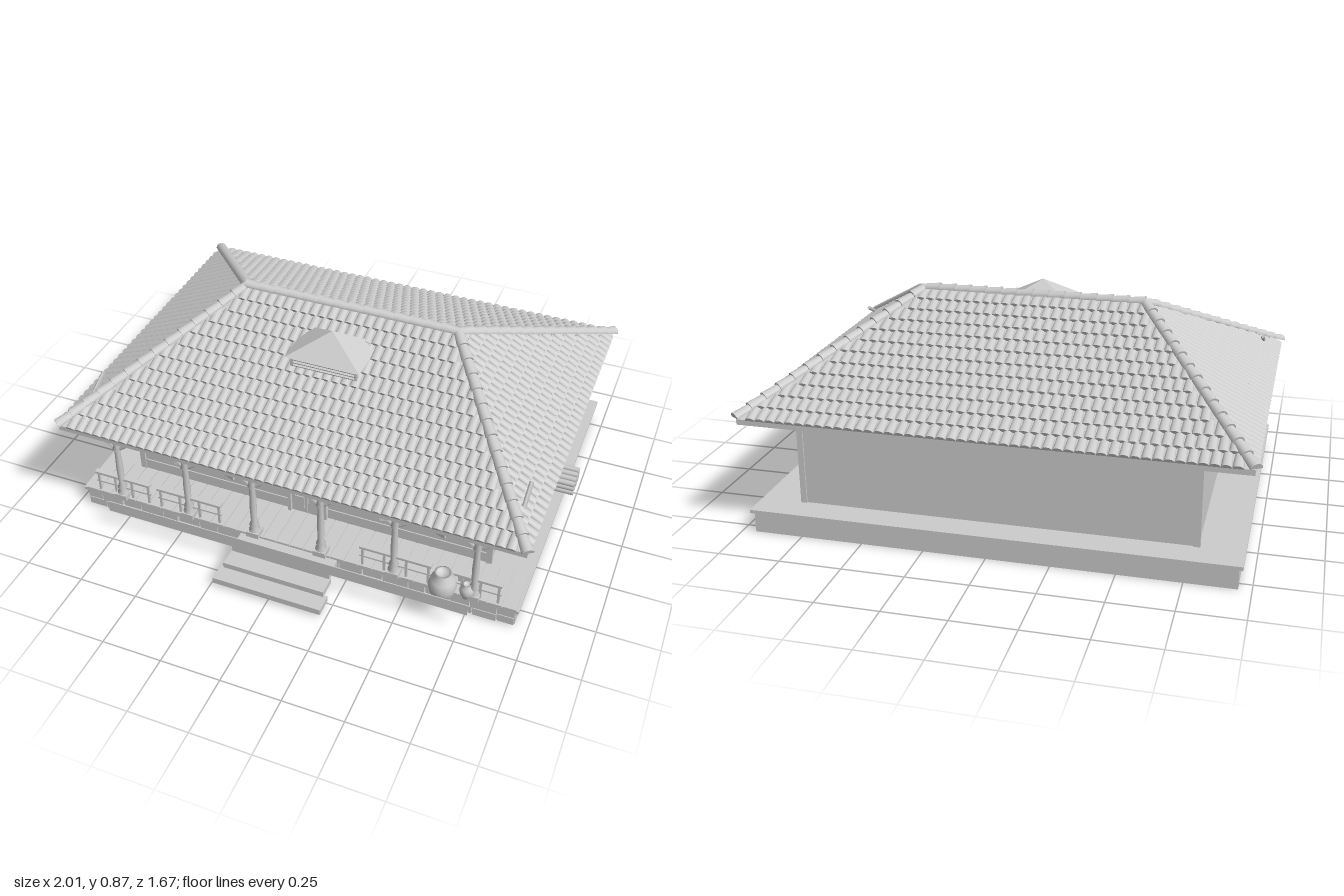
import * as THREE from 'three';
import { mergeGeometries } from 'three/addons/utils/BufferGeometryUtils.js';

const V = (x, y, z) => new THREE.Vector3(x, y, z);

export function createModel() {
  const root = new THREE.Group();
  root.name = 'verandaHouse';
  const clay = new THREE.MeshStandardMaterial({ color: 0xcccccc });
  clay.name = 'plainGrey';

  const add = (name, geo, x = 0, y = 0, z = 0, parent = root) => {
    const m = new THREE.Mesh(geo, clay);
    m.name = name;
    m.position.set(x, y, z);
    parent.add(m);
    return m;
  };
  // Box given by its min and max on each axis
  const box = (name, x0, x1, y0, y1, z0, z1, parent = root) =>
    add(name, new THREE.BoxGeometry(x1 - x0, y1 - y0, z1 - z0), (x0 + x1) / 2, (y0 + y1) / 2, (z0 + z1) / 2, parent);
  const lathe = (name, pts, x, y, z, seg = 16) =>
    add(name, new THREE.LatheGeometry(pts.map(p => new THREE.Vector2(p[0], p[1])), seg), x, y, z);
  // Bar between two points
  const bar = (name, a, b, r, sides = 6, parent = root) => {
    const m = add(name, new THREE.CylinderGeometry(r, r, a.distanceTo(b), sides), 0, 0, 0, parent);
    m.position.copy(a).lerp(b, 0.5);
    m.quaternion.setFromUnitVectors(V(0, 1, 0), b.clone().sub(a).normalize());
  };

  // Plinth with cap and two courses of front stones
  box('plinth', -0.95, 0.945, 0, 0.085, -0.795, 0.58);
  box('plinthCap', -0.965, 0.96, 0.083, 0.097, -0.805, 0.6);
  const stones = [];
  for (let row = 0; row < 2; row++) {
    let x = -0.95, i = 0;
    while (x < 0.94) {
      const w = Math.min([0.085, 0.11, 0.07, 0.1][(i++ + row * 2) % 4], 0.945 - x);
      const d = 0.012 + (i % 3) * 0.003;
      if (w > 0.01) stones.push(new THREE.BoxGeometry(w - 0.005, 0.035, d)
        .translate(x + w / 2, 0.025 + row * 0.039, 0.58 + d / 2));
      x += w;
    }
  }
  add('frontStones', mergeGeometries(stones));

  // Steps
  [[0.233, 0.015, 0.75, 0.83], [0.218, 0.04, 0.675, 0.76], [0.214, 0.065, 0.6, 0.685]].forEach(([h, y, z0, z1]) =>
    box('step', -h - 0.005, h - 0.005, y, y + 0.027, z0, z1));

  // Veranda floor planks and thin front kerb
  for (let i = 0; i < 32; i++) {
    const x = -0.95 + i * 0.0595;
    box('plank', x, x + 0.055, 0.095, 0.102, 0.39, 0.6);
  }
  box('verandaKerb', -0.785, 0.78, 0.1, 0.152, 0.688, 0.692);

  // Walls, skirting and corner posts
  box('walls', -0.79, 0.785, 0.095, 0.49, -0.685, 0.39);
  box('skirting', -0.79, 0.785, 0.1, 0.15, 0.39, 0.395);
  for (const x of [-0.785, 0.78]) for (const z of [-0.68, 0.387])
    box('cornerPost', x - 0.012, x + 0.012, 0.095, 0.49, z - 0.012, z + 0.012);

  // Barred windows with open shutters
  for (const cx of [-0.465, 0.465]) {
    const g = new THREE.Group();
    g.name = 'window';
    g.position.x = cx;
    root.add(g);
    for (const s of [-1, 1]) {
      box('windowJamb', s * 0.078 - 0.008, s * 0.078 + 0.008, 0.2, 0.39, 0.388, 0.412, g);
      box('windowRail', -0.086, 0.086, 0.293 + s * 0.09, 0.305 + s * 0.09, 0.388, 0.414, g);
      const sh = new THREE.Group();
      sh.name = 'shutter';
      sh.position.set(s * 0.114, 0.298, 0.425);
      sh.rotation.y = -s * 0.35;
      g.add(sh);
      box('shutterLeaf', -0.027, 0.027, -0.088, 0.088, -0.005, 0.005, sh);
      for (const y of [-0.06, 0, 0.06]) box('shutterBatten', -0.024, 0.024, y - 0.008, y + 0.008, 0.005, 0.01, sh);
    }
    for (let i = -2; i <= 2; i++) bar('windowBar', V(i * 0.027, 0.21, 0.405), V(i * 0.027, 0.385, 0.405), 0.0045, 6, g);
  }

  // Double door with raised panels and knobs
  for (const s of [-1, 1]) {
    const cx = s * 0.037 - 0.003;
    box('doorJamb', s * 0.08 - 0.01, s * 0.08 + 0.004, 0.1, 0.39, 0.385, 0.412);
    box('doorLeaf', cx - 0.035, cx + 0.035, 0.102, 0.38, 0.388, 0.4);
    for (const y of [0.16, 0.25, 0.335]) box('doorPanel', cx - 0.022, cx + 0.022, y - 0.03, y + 0.03, 0.4, 0.406);
    add('doorKnob', new THREE.SphereGeometry(0.006, 8, 6), s * 0.012 - 0.003, 0.24, 0.41);
  }
  box('doorLintel', -0.09, 0.085, 0.38, 0.395, 0.385, 0.414);

  // Turned columns with knee braces under the veranda beam
  const columnProfile = [[0, 0], [0.024, 0], [0.024, 0.03], [0.015, 0.04], [0.021, 0.055], [0.013, 0.075], [0.015, 0.15],
    [0.012, 0.25], [0.019, 0.265], [0.013, 0.28], [0.021, 0.31], [0.021, 0.335], [0, 0.335]];
  for (const x of [-0.775, -0.46, -0.16, 0.135, 0.445, 0.775]) {
    lathe('column', columnProfile, x, 0.1, 0.59, 12);
    box('columnBase', x - 0.027, x + 0.027, 0.1, 0.125, 0.563, 0.617);
    for (const s of [-1, 1]) bar('kneeBrace', V(x + s * 0.01, 0.365, 0.59), V(x + s * 0.095, 0.43, 0.59), 0.009, 4);
  }
  box('verandaBeam', -0.86, 0.855, 0.427, 0.455, 0.575, 0.605);
  for (let i = 0; i <= 18; i++) {
    const x = -0.92 + i * 0.1017;
    bar('rafter', V(x, 0.585, 0.4), V(x, 0.463, 0.65), 0.009, 4);
  }

  // Railings
  for (const [x0, x1] of [[-0.9, -0.64], [-0.605, -0.31], [0.3, 0.6], [0.64, 0.885]]) {
    box('handRail', x0, x1, 0.192, 0.203, 0.575, 0.597);
    box('lowerRail', x0, x1, 0.145, 0.152, 0.581, 0.591);
    for (let i = 0; i <= 3; i++) {
      const x = x0 + 0.012 + (x1 - x0 - 0.024) * i / 3;
      box('railPost', x - 0.005, x + 0.005, 0.1, 0.193, 0.581, 0.591);
    }
  }

  // Hanging lamp
  bar('lampCord', V(-0.005, 0.36, 0.505), V(-0.005, 0.53, 0.505), 0.002);
  lathe('lampShade', [[0, 0], [0.012, 0], [0.032, 0.012], [0.03, 0.016], [0.008, 0.03], [0, 0.034]], -0.005, 0.333, 0.505);

  // Pots, stool and broom
  const pot = [[0, 0], [0.55, 0], [0.85, 0.6], [1, 1.2], [0.85, 1.8], [0.5, 2.15], [0.6, 2.35], [0.45, 2.35], [0.4, 2.1], [0, 2.05]];
  const makePot = (name, r, x, z) => lathe(name, pot.map(p => [p[0] * r, p[1] * r]), x, 0.1, z, 20);
  makePot('largePot', 0.057, 0.66, 0.635);
  makePot('smallPot', 0.03, 0.75, 0.6);
  box('stoolSeat', 0.69, 0.75, 0.145, 0.157, 0.48, 0.54);
  box('stoolBody', 0.695, 0.745, 0.1, 0.145, 0.485, 0.535);
  bar('broomHandle', V(0.76, 0.14, 0.563), V(0.765, 0.27, 0.553), 0.003);
  add('broomHead', new THREE.CylinderGeometry(0.004, 0.012, 0.05, 8), 0.76, 0.127, 0.563);

  // Firewood stack
  for (let r = 0; r < 3; r++) for (let c = 0; c < 4; c++) {
    const y = 0.111 + r * 0.0225, z = -0.127 - c * 0.032;
    bar('firewood', V(0.88, y, z), V(1, y, z), 0.0125, 10);
  }

  // Hipped roof shell
  const CX = -0.005, CZ = -0.075, X = 0.98, Z = 0.745, R = 0.465, EY = 0.485, RY = 0.835;
  const tops = [V(CX - X, EY, CZ + Z), V(CX + X, EY, CZ + Z), V(CX + X, EY, CZ - Z), V(CX - X, EY, CZ - Z),
    V(CX - R, RY, CZ), V(CX + R, RY, CZ)];
  const pts = [...tops, ...tops.map(p => p.clone().setY(p.y - 0.022))];
  const slopes = [[0, 1, 5, 4], [1, 2, 5], [2, 3, 4, 5], [3, 0, 4]];
  const faces = [...slopes, ...slopes.map(f => f.map(i => i + 6).reverse())];
  for (let i = 0; i < 4; i++) faces.push([i + 6, (i + 1) % 4 + 6, (i + 1) % 4, i]);
  const corners = [];
  for (const f of faces) for (let i = 1; i < f.length - 1; i++) corners.push(pts[f[0]], pts[f[i]], pts[f[i + 1]]);
  const shell = new THREE.BufferGeometry().setFromPoints(corners);
  shell.computeVertexNormals();
  add('roofShell', shell);

  // Barrel tile laid along direction dir, its middle at p
  const barrel = (p, dir, r, len, flat) => {
    const v = dir.clone().normalize(), u = v.clone().cross(V(0, 1, 0)).normalize(), n = u.clone().cross(v);
    return new THREE.CylinderGeometry(r * 0.82, r, len, 6, 1, false, -Math.PI / 2, Math.PI)
      .scale(1, 1, flat).rotateX(-0.06)
      .applyMatrix4(new THREE.Matrix4().makeBasis(u, v, n).setPosition(p));
  };
  // Staggered tile rows on each slope
  const ROWS = 12, tiles = [];
  for (const f of slopes) {
    const a = pts[f[0]], b = pts[f[1]], c = pts[f[2]], d = pts[f[f.length - 1]];
    const up = c.clone().add(d).sub(a).sub(b).multiplyScalar(0.5);
    const along = b.clone().sub(a).normalize(), step = up.length() / ROWS;
    for (let r = 0; r < ROWS; r++) {
      const t = (r + 0.5) / ROWS;
      const mid = a.clone().add(b).multiplyScalar(0.5).addScaledVector(up, t);
      const half = a.clone().lerp(d, t).distanceTo(b.clone().lerp(c, t)) / 2 - 0.012;
      const shift = r % 2 ? 0.02 : 0;
      for (let k = -26; k <= 26; k++) {
        const s = k * 0.04 + shift;
        if (Math.abs(s) < half) tiles.push(barrel(mid.clone().addScaledVector(along, s), up, 0.0205, step * 1.15, 0.7));
      }
    }
  }
  add('roofTiles', mergeGeometries(tiles));

  // Cap tiles on the hips and ridge
  const caps = [];
  const capLine = (a, b) => {
    const d = b.clone().sub(a), n = 14;
    for (let i = 0; i < n; i++)
      caps.push(barrel(a.clone().lerp(b, (i + 0.5) / n).add(V(0, 0.006, 0)), d, 0.025, d.length() / n * 1.12, 0.9));
  };
  [[0, 4], [1, 5], [2, 5], [3, 4], [4, 5]].forEach(([i, j]) => capLine(pts[i], pts[j]));
  add('hipAndRidgeTiles', mergeGeometries(caps));

  // Louvred roof vent with a pyramid cap
  box('ventBody', -0.143, 0.138, 0.66, 0.765, 0.04, 0.21);
  for (let i = 0; i < 4; i++) {
    const slat = box('ventSlat', -0.138, 0.133, 0.714 + i * 0.014, 0.719 + i * 0.014, 0.205, 0.223);
    slat.rotation.x = 0.35;
  }
  for (const x of [-0.14, 0.135]) box('ventJamb', x - 0.006, x + 0.006, 0.7, 0.767, 0.2, 0.222);
  const cap = new THREE.ConeGeometry(Math.SQRT1_2, 0.092, 4).rotateY(Math.PI / 4).scale(0.32, 1, 0.235).toNonIndexed();
  cap.computeVertexNormals();
  add('ventRoof', cap, 0, 0.81, 0.128);

  return root;
}
